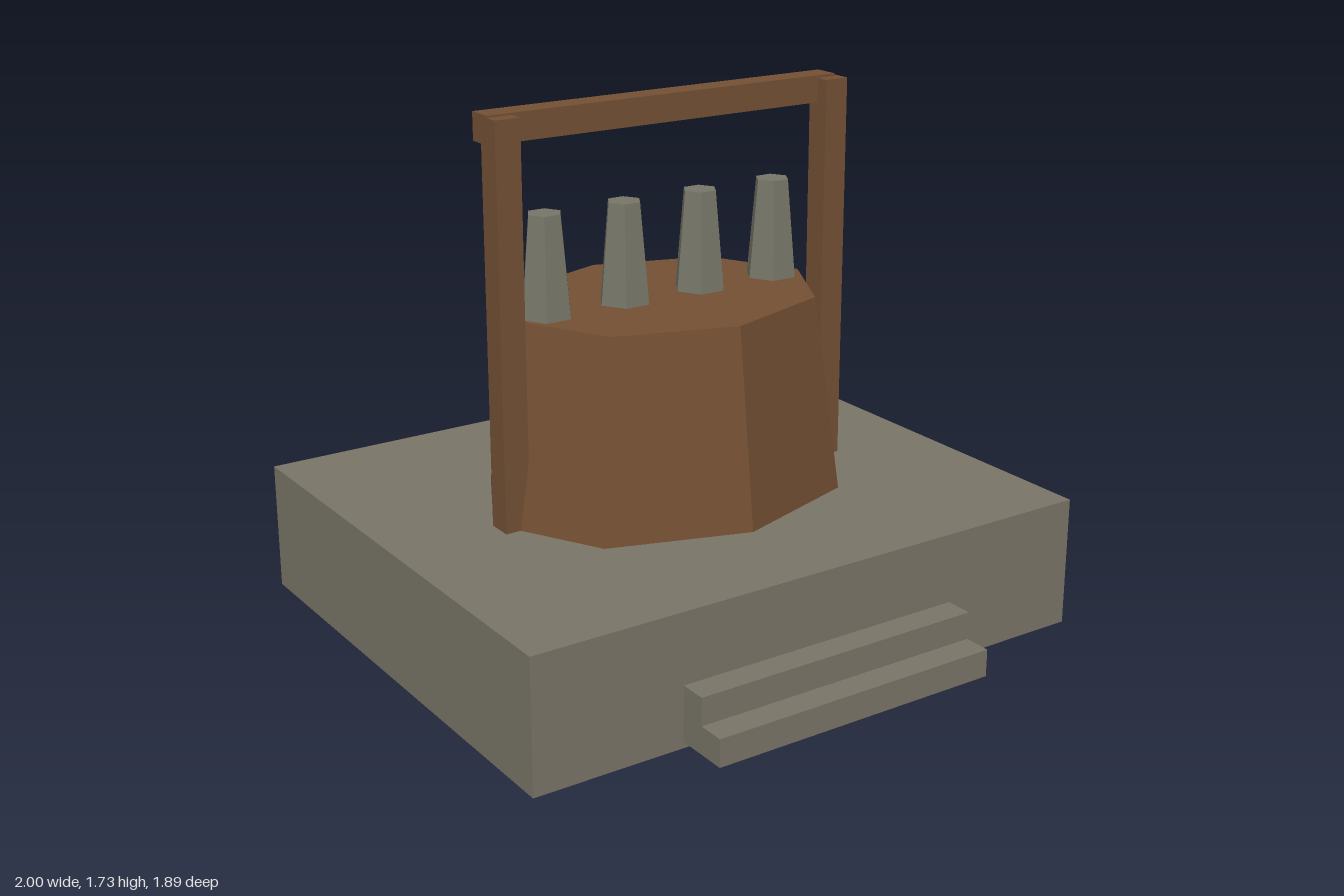
import * as THREE from 'three';

export function createModel() {
  const model = new THREE.Group();
  model.name = 'monument';

  const material = (name, color) => {
    const m = new THREE.MeshStandardMaterial({ color, flatShading: true });
    m.name = name;
    return m;
  };
  const stone = material('stone', 0x7a7668);
  stone.side = THREE.DoubleSide; // the base is an open shell
  const paleStone = material('peg stone', 0x78776a);
  const wood = material('wood', 0x755135);

  const add = (name, geometry, mat) => {
    const mesh = new THREE.Mesh(geometry, mat);
    mesh.name = name;
    model.add(mesh);
    return mesh;
  };
  // Box given by its lower and upper corners
  const box = (name, mat, [x0, y0, z0], [x1, y1, z1]) => {
    const g = new THREE.BoxGeometry(x1 - x0, y1 - y0, z1 - z0);
    g.translate((x0 + x1) / 2, (y0 + y1) / 2, (z0 + z1) / 2);
    return add(name, g, mat);
  };

  // Hollow base without a floor: drop the bottom face of the box
  const base = box('base', stone, [-1, 0, -0.945], [1, 0.43, 0.765]);
  const index = Array.from(base.geometry.index.array);
  index.splice(18, 6);
  base.geometry.setIndex(index);
  base.geometry.clearGroups();

  // Steps climbing through the front wall into the base
  for (let i = 0; i < 3; i++) {
    const front = 0.945 - i * 0.09 - (i === 2 ? 0.002 : 0);
    const y = 0.02 + i * 0.09;
    box('step' + (i + 1), stone, [-0.5, y, front - 0.18], [0.5, y + 0.09, front]);
  }

  // Tapered eight-sided drum, wider than deep
  const drum = new THREE.CylinderGeometry(0.845, 1, 0.645, 8);
  drum.scale(0.636, 1, 0.5);
  drum.translate(0, 0.7525, -0.09);
  add('drum', drum, wood);

  // Row of tapered six-sided pegs
  for (let i = 0; i < 4; i++) {
    const peg = new THREE.CylinderGeometry(0.056, 0.086, 0.325, 6, 1, false, Math.PI / 2);
    peg.translate(-0.43 + i * 0.285, 1.2375, -0.088);
    add('peg' + (i + 1), peg, paleStone);
  }

  // Frame of two posts and a crossbar
  box('rightPost', wood, [-0.64, 0.43, -0.085], [-0.555, 1.718, 0]);
  box('leftPost', wood, [0.572, 0.43, -0.087], [0.657, 1.716, -0.002]);
  box('crossbar', wood, [-0.641, 1.637, -0.132], [0.639, 1.725, -0.046]);

  return model;
}
